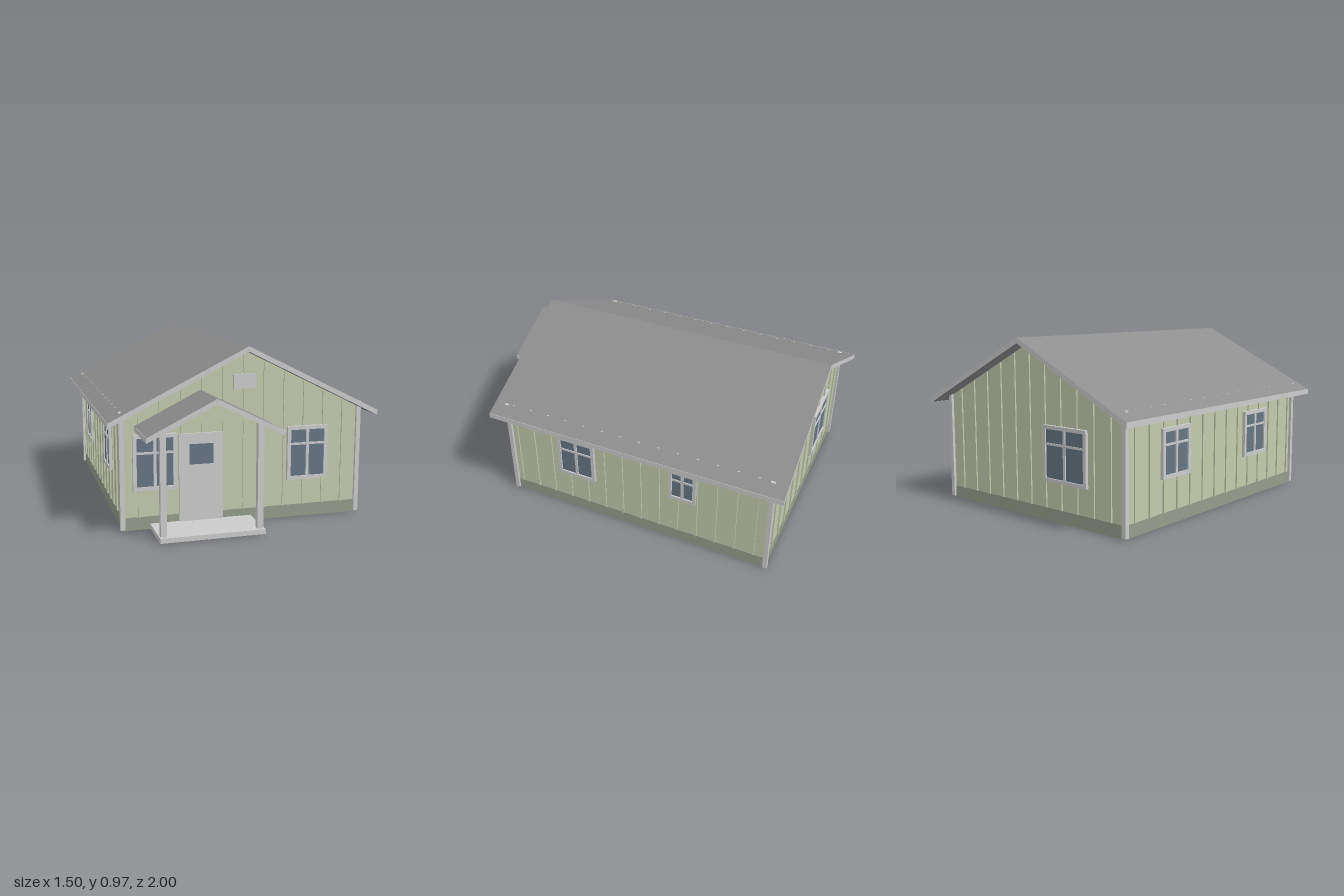
import * as THREE from 'three';

const mat = (color) => new THREE.MeshStandardMaterial({ color });
const trim = mat(0xcccccc), siding = mat(0xc2caac), base = mat(0x949d8b);
const glass = mat(0x667684), roofing = mat(0x8e8e8e);

const HALF_W = 0.665, HALF_D = 0.8, MID_Z = -0.115; // wall outline
const SLOPE = 0.494, PEAK = 0.938;                  // underside of the main roof
const SKIRT = 0.07, WALL = 0.01;

// Box given by its limits on each axis
function box(parent, name, material, x0, x1, y0, y1, z0, z1) {
  const m = new THREE.Mesh(new THREE.BoxGeometry(x1 - x0, y1 - y0, z1 - z0), material);
  m.position.set((x0 + x1) / 2, (y0 + y1) / 2, (z0 + z1) / 2);
  m.name = name;
  parent.add(m);
  return m;
}

function extrude(parent, name, material, points, z0, z1) {
  const shape = new THREE.Shape(points.map(([x, y]) => new THREE.Vector2(x, y)));
  const m = new THREE.Mesh(new THREE.ExtrudeGeometry(shape, { depth: z1 - z0, bevelEnabled: false }), material);
  m.position.z = z0;
  m.name = name;
  parent.add(m);
  return m;
}

// Gabled roof slab with pale edges
function gableRoof(parent, name, cx, half, peak, thick, z0, z1) {
  const g = new THREE.Group();
  g.name = name;
  g.position.x = cx;
  const eave = peak - SLOPE * half;
  extrude(g, 'roofSlab', [trim, roofing], [
    [-half, eave - thick], [0, peak - thick], [half, eave - thick],
    [half, eave], [0, peak], [-half, eave]], z0, z1);
  for (const s of [-1, 1]) {
    const x = s * half;
    box(g, 'eaveTrim', trim, x - 0.002, x + 0.002, eave - thick, eave, z0, z1);
  }
  parent.add(g);
}

// Window centred on u, facing +z of its wall
function windowUnit(wall, u, w, y0, y1) {
  const g = new THREE.Group();
  g.name = 'window';
  const a = u - w / 2, b = u + w / 2, f = 0.02, bar = y0 + (y1 - y0) * 0.67;
  box(g, 'glass', glass, a + 0.01, b - 0.01, y0 + 0.01, y1 - 0.01, -WALL - 0.002, 0.01);
  for (const [l, r] of [[a, a + f], [b - f, b]]) box(g, 'frameSide', trim, l, r, y0, y1, 0, 0.018);
  for (const [l, h] of [[y0, y0 + f], [y1 - f, y1]]) box(g, 'frameRail', trim, a + f, b - f, l, h, 0, 0.018);
  box(g, 'mullion', trim, u - 0.008, u + 0.008, y0 + f, y1 - f, 0, 0.016);
  box(g, 'glazingBar', trim, a + f, b - f, bar - 0.006, bar + 0.006, 0, 0.015);
  wall.add(g);
}

// Wall group whose outer face is local z = 0
function wallGroup(parent, name, x, z, angle) {
  const g = new THREE.Group();
  g.name = name;
  g.position.set(x, 0, z);
  g.rotation.y = angle;
  parent.add(g);
  return g;
}

function gableWall(parent, name, z, angle) {
  const g = wallGroup(parent, name, 0, z, angle);
  const side = PEAK - SLOPE * HALF_W;
  extrude(g, 'siding', siding, [[-HALF_W, SKIRT], [HALF_W, SKIRT], [HALF_W, side], [0, PEAK], [-HALF_W, side]], -WALL, 0);
  box(g, 'skirt', base, -HALF_W, HALF_W, 0, SKIRT, -WALL, 0.002);
  for (let i = -5; i <= 5; i++) {
    const x = i * 0.115;
    box(g, 'batten', siding, x - 0.006, x + 0.006, SKIRT, PEAK - SLOPE * Math.abs(x) - 0.005, -0.002, 0.008);
  }
  return g;
}

function sideWall(parent, name, s) {
  const g = wallGroup(parent, name, s * HALF_W, MID_Z, s * Math.PI / 2);
  const top = PEAK - SLOPE * HALF_W + 0.004;
  box(g, 'siding', siding, -HALF_D, HALF_D, SKIRT, top, -WALL, 0);
  box(g, 'skirt', base, -HALF_D, HALF_D, 0, SKIRT, -WALL, 0.002);
  for (let i = 0; i < 14; i++) {
    const u = -s * (0.645 - i * 0.1145 - MID_Z); // local x runs along -z on the +x wall
    box(g, 'batten', siding, u - 0.006, u + 0.006, SKIRT, 0.637, -0.002, 0.008);
  }
  return g;
}

export function createModel() {
  const house = new THREE.Group();
  house.name = 'house';

  // Walls
  const front = gableWall(house, 'frontWall', MID_Z + HALF_D, 0);
  const back = gableWall(house, 'backWall', MID_Z - HALF_D, Math.PI);
  const left = sideWall(house, 'leftWall', 1);
  const right = sideWall(house, 'rightWall', -1);

  // Windows
  windowUnit(front, -0.492, 0.236, 0.215, 0.515);
  windowUnit(front, 0.365, 0.236, 0.215, 0.515);
  windowUnit(back, 0.265, 0.31, 0.215, 0.515);
  windowUnit(left, -(0.247 - MID_Z), 0.236, 0.25, 0.515);
  windowUnit(left, -(-0.417 - MID_Z), 0.165, 0.315, 0.515);
  windowUnit(right, 0.247 - MID_Z, 0.236, 0.25, 0.515);
  windowUnit(right, -0.52 - MID_Z, 0.236, 0.25, 0.515);

  // Door and gable vent
  box(front, 'door', trim, -0.362, -0.12, 0.03, 0.508, -WALL - 0.002, 0.012);
  box(front, 'doorGlass', glass, -0.305, -0.175, 0.34, 0.45, -WALL - 0.004, 0.014);
  box(front, 'gableVent', trim, -0.063, 0.063, 0.735, 0.813, 0, 0.016);

  // Corner boards
  for (const x of [-0.6675, 0.6675])
    for (const z of [0.6875, -0.9175])
      box(house, 'cornerBoard', trim, x - 0.0125, x + 0.0125, 0.008, 0.637, z - 0.0125, z + 0.0125);

  // Main roof
  gableRoof(house, 'mainRoof', 0, 0.746, 0.966, 0.029, -1, 0.765);

  // Porch
  const porch = new THREE.Group();
  porch.name = 'porch';
  house.add(porch);
  box(porch, 'porchSlab', trim, -0.52, 0.04, 0.004, 0.03, 0.685, 0.94);
  for (const x of [-0.497, 0.016])
    box(porch, 'porchPost', trim, x - 0.016, x + 0.016, 0.03, 0.595, 0.892, 0.922);
  gableRoof(porch, 'porchRoof', -0.241, 0.354, 0.737, 0.027, 0.685, 1);
  extrude(porch, 'porchGable', siding, [[-0.455, 0.605], [-0.027, 0.605], [-0.241, 0.711]], 0.902, 0.912);

  return house;
}
